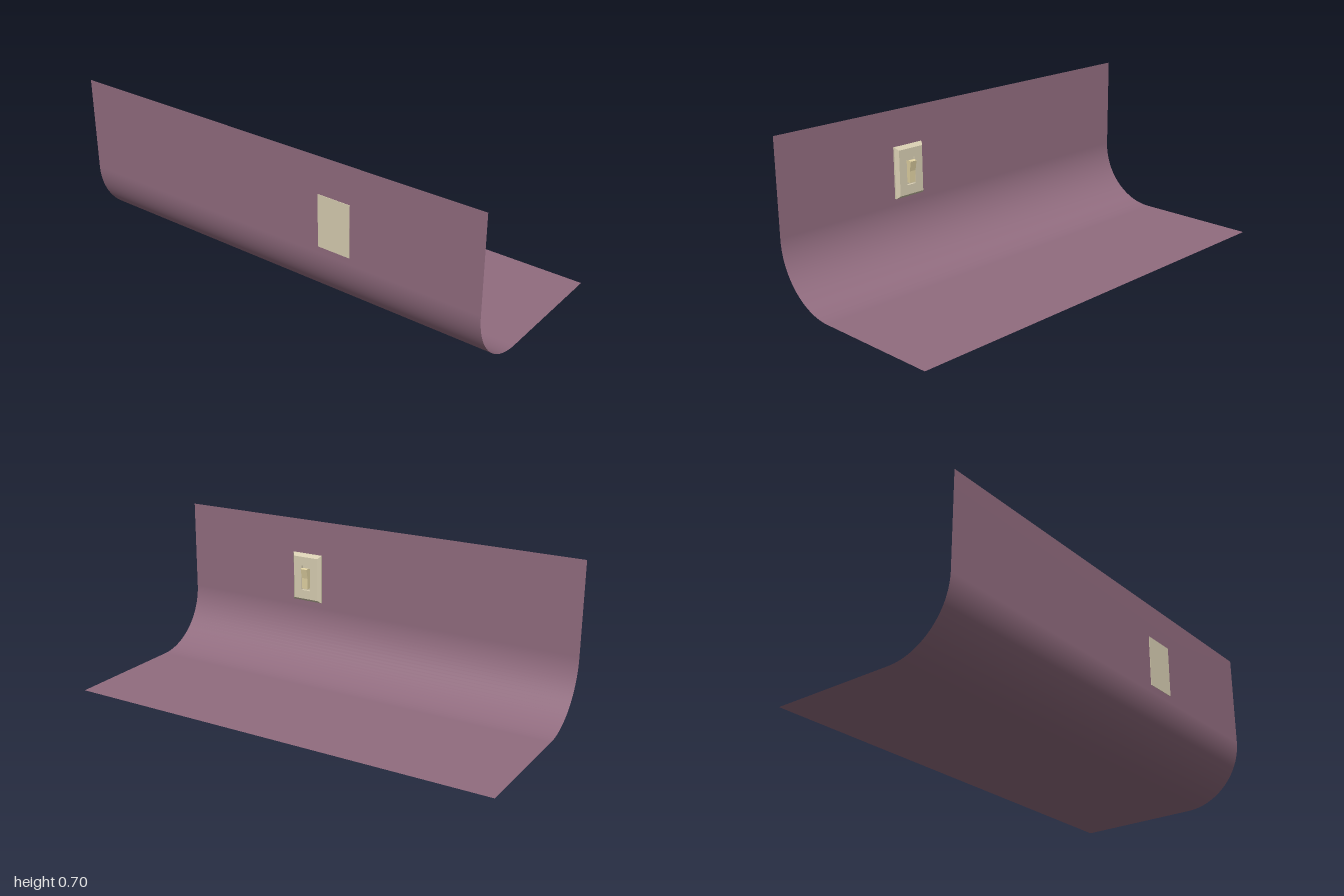
import * as THREE from 'three';

const WALL_Z = 0.424, BACK_Z = -0.426, TOP = 0.70, RADIUS = 0.28;

// Sheet: wall, quarter-round cove and floor, one surface without thickness
function makeSheet() {
  const points = [[TOP, WALL_Z]];
  const steps = 28;
  for (let i = 0; i <= steps; i++) {
    const a = (i / steps) * Math.PI / 2;
    points.push([RADIUS * (1 - Math.sin(a)), WALL_Z - RADIUS * (1 - Math.cos(a))]);
  }
  points.push([0, BACK_Z]);
  const geo = new THREE.PlaneGeometry(2, 1, 1, points.length - 1);
  const pos = geo.attributes.position;
  for (let i = 0; i < pos.count; i++) {
    const [y, z] = points[Math.floor(i / 2)];
    pos.setY(i, y);
    pos.setZ(i, z);
  }
  geo.computeVertexNormals();
  return geo;
}

// Flat-faced solid lofted through rectangles [halfWidth, halfHeight, z]
function loftRectangles(rings) {
  const corners = rings.map(([w, h, z]) => [[-w, -h, z], [w, -h, z], [w, h, z], [-w, h, z]]);
  const verts = [];
  for (let r = 0; r < rings.length - 1; r++) {
    for (let i = 0; i < 4; i++) {
      const j = (i + 1) % 4;
      const a = corners[r][i], b = corners[r][j], c = corners[r + 1][j], d = corners[r + 1][i];
      verts.push(...a, ...b, ...c, ...a, ...c, ...d);
    }
  }
  const geo = new THREE.BufferGeometry();
  geo.setAttribute('position', new THREE.Float32BufferAttribute(verts, 3));
  geo.computeVertexNormals();
  return geo;
}

export function createModel() {
  const model = new THREE.Group();
  model.name = 'wallWithSwitch';
  const add = (parent, name, geo, color, side = THREE.FrontSide) => {
    const mesh = new THREE.Mesh(geo, new THREE.MeshStandardMaterial({ color, side }));
    mesh.name = name;
    parent.add(mesh);
    return mesh;
  };

  add(model, 'wallAndFloor', makeSheet(), 0x916c7f, THREE.DoubleSide);

  // Switch is modelled facing +z, then turned to face the inside of the cove
  const lightSwitch = new THREE.Group();
  lightSwitch.name = 'lightSwitch';
  lightSwitch.position.set(0.338, 0.423, 0.426);
  lightSwitch.rotation.y = Math.PI;
  model.add(lightSwitch);

  // Plate with chamfered rim and a recessed opening
  add(lightSwitch, 'coverPlate', loftRectangles([
    [0, 0, 0],
    [0.076, 0.115, 0],
    [0.076, 0.115, 0.01],
    [0.064, 0.102, 0.025],
    [0.024, 0.06, 0.025],
    [0.024, 0.06, 0.012],
    [0, 0, 0.012],
  ]), 0xd8ceb2);

  // Rocker, bent at the middle with its upper half tilted outward
  const profile = new THREE.Shape([
    [0.012, -0.05], [0.033, -0.05], [0.034, 0.002], [0.043, 0.047], [0.029, 0.05], [0.012, 0.045],
  ].map(([z, y]) => new THREE.Vector2(z, y)));
  const width = 0.032;
  const rocker = new THREE.ExtrudeGeometry(profile, { depth: width, bevelEnabled: false });
  rocker.translate(0, 0, -width / 2);
  rocker.rotateY(-Math.PI / 2);
  add(lightSwitch, 'rocker', rocker, 0xe3d4a4);

  return model;
}
